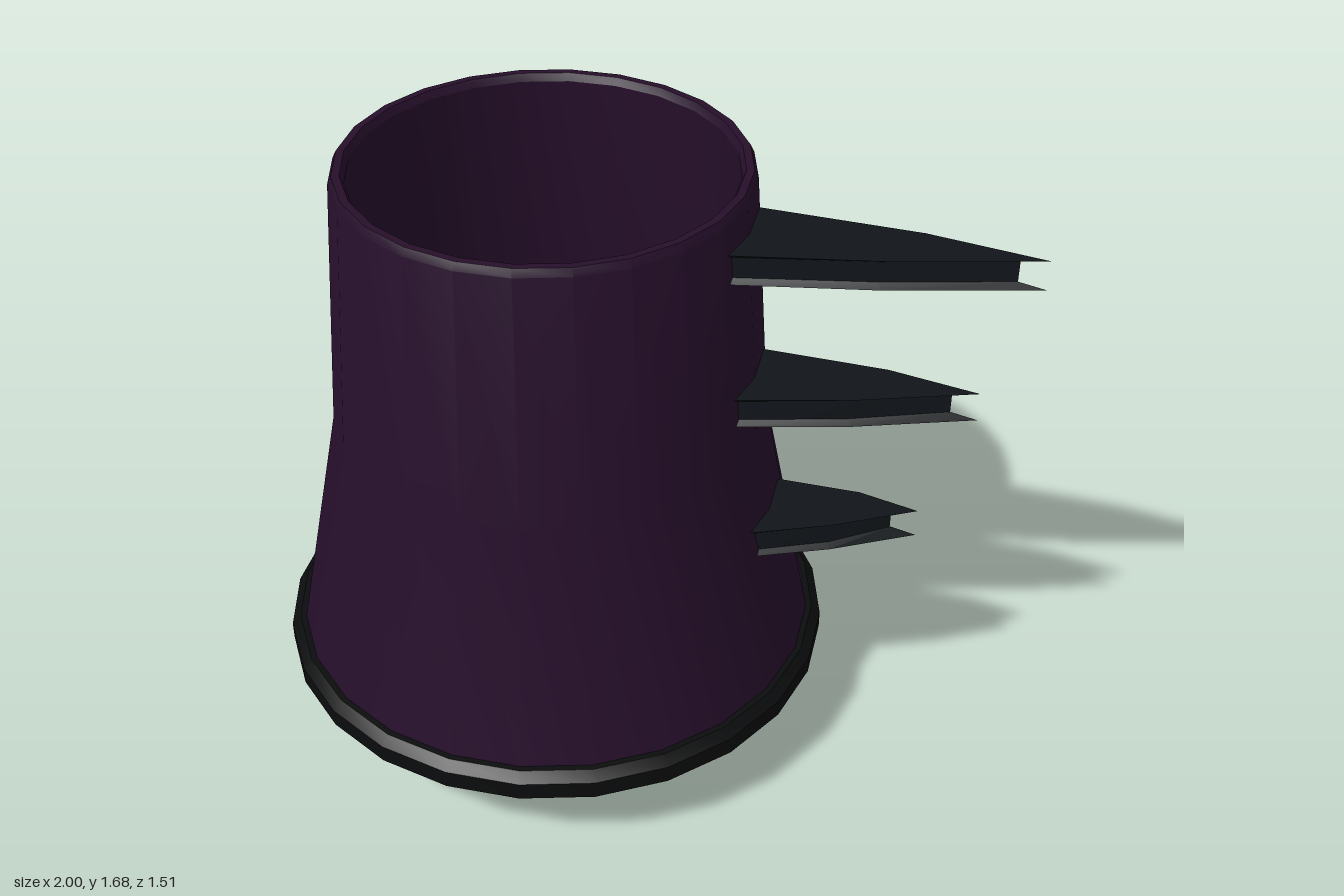
import * as THREE from 'three';
import { toCreasedNormals } from 'three/addons/utils/BufferGeometryUtils.js';

const AXIS = -0.245; // x of the sleeve's centre line
const SIDES = 24;

const paint = (color) => new THREE.MeshStandardMaterial({ color });

// Closed profile turned round the sleeve's axis: up the outside, down the inside
function turned(name, profile, material, crease = 0.45) {
  const points = [...profile, profile[0]].map(([r, y]) => new THREE.Vector2(r, y));
  const geometry = toCreasedNormals(new THREE.LatheGeometry(points, SIDES), crease);
  const mesh = new THREE.Mesh(geometry, material);
  mesh.name = name;
  mesh.position.x = AXIS;
  return mesh;
}

// Tapered blade with a groove running round its edge
function bladeGeometry(root, tip) {
  const at = (t) => root + (tip - root) * t;
  const outer = [[root, -0.135], [root, 0.12], [at(0.5), 0.01], [tip, -0.13], [at(0.58), -0.155]];
  const inner = [[root, -0.12], [root, 0.105], [at(0.48), -0.005], [tip - 0.07, -0.125], [at(0.56), -0.135]];
  const layers = [[-0.04, outer], [-0.028, inner], [0.028, inner], [0.04, outer]];
  const n = outer.length;
  const positions = [];
  const index = [];
  layers.forEach(([y, outline]) => outline.forEach(([x, z]) => positions.push(x, y, z)));
  for (let k = 0; k < 3; k++) {
    for (let i = 0; i < n; i++) {
      const a = k * n + i;
      const b = k * n + (i + 1) % n;
      index.push(a, b, b + n, a, b + n, a + n);
    }
  }
  const top = 3 * n;
  for (let i = 1; i < n - 1; i++) {
    index.push(top, top + i, top + i + 1);
    index.push(0, i + 1, i);
  }
  const geometry = new THREE.BufferGeometry();
  geometry.setAttribute('position', new THREE.Float32BufferAttribute(positions, 3));
  geometry.setIndex(index);
  return toCreasedNormals(geometry, 0.3);
}

export function createModel() {
  const model = new THREE.Group();
  model.name = 'bladedGauntlet';
  const cloth = paint(0x260f2b);
  const black = paint(0x0b0c0d);
  const steel = paint(0x11151a);
  const silver = paint(0xb9bdc8);
  const pink = paint(0xc83a9c);

  // Flared hollow sleeve
  model.add(turned('sleeve', [
    [0.72, 0.28], [0.577, 0.98], [0.53, 1.665], [0.52, 1.685],
    [0.5, 1.685], [0.49, 1.665], [0.55, 0.98], [0.69, 0.28],
  ], cloth));

  // Band round the lower opening, and the seam inside
  model.add(turned('cuffTrim', [
    [0.735, 0.22], [0.755, 0.235], [0.755, 0.285], [0.73, 0.31],
    [0.69, 0.31], [0.675, 0.285], [0.675, 0.235], [0.69, 0.22],
  ], black));
  model.add(turned('innerSeam', [
    [0.655, 0.535], [0.645, 0.56], [0.625, 0.56], [0.625, 0.535],
  ], black));

  // Three blades down the left side, shorter towards the cuff
  [[1.545, 0.26, 0.995], [1.135, 0.29, 0.87], [0.73, 0.35, 0.745]].forEach(([y, root, tip], i) => {
    const blade = new THREE.Mesh(bladeGeometry(root, tip), steel);
    blade.name = `blade${i + 1}`;
    blade.position.y = y;
    model.add(blade);
  });

  // Bevelled bracelet hanging below the cuff
  model.add(turned('bracelet', [
    [0.41, 0.02], [0.45, 0.055], [0.45, 0.105], [0.41, 0.14],
    [0.365, 0.14], [0.338, 0.105], [0.338, 0.055], [0.365, 0.02],
  ], silver));

  // Faceted gem on the front of the bracelet
  const gemProfile = [[0, -0.075], [0.025, -0.065], [0.042, -0.035], [0.042, 0.035], [0.025, 0.065], [0, 0.075]]
    .map(([r, y]) => new THREE.Vector2(r, y));
  const gem = new THREE.Mesh(toCreasedNormals(new THREE.LatheGeometry(gemProfile, 6), 0.2), pink);
  gem.name = 'gem';
  gem.position.set(AXIS, 0.077, 0.418);
  model.add(gem);

  return model;
}
